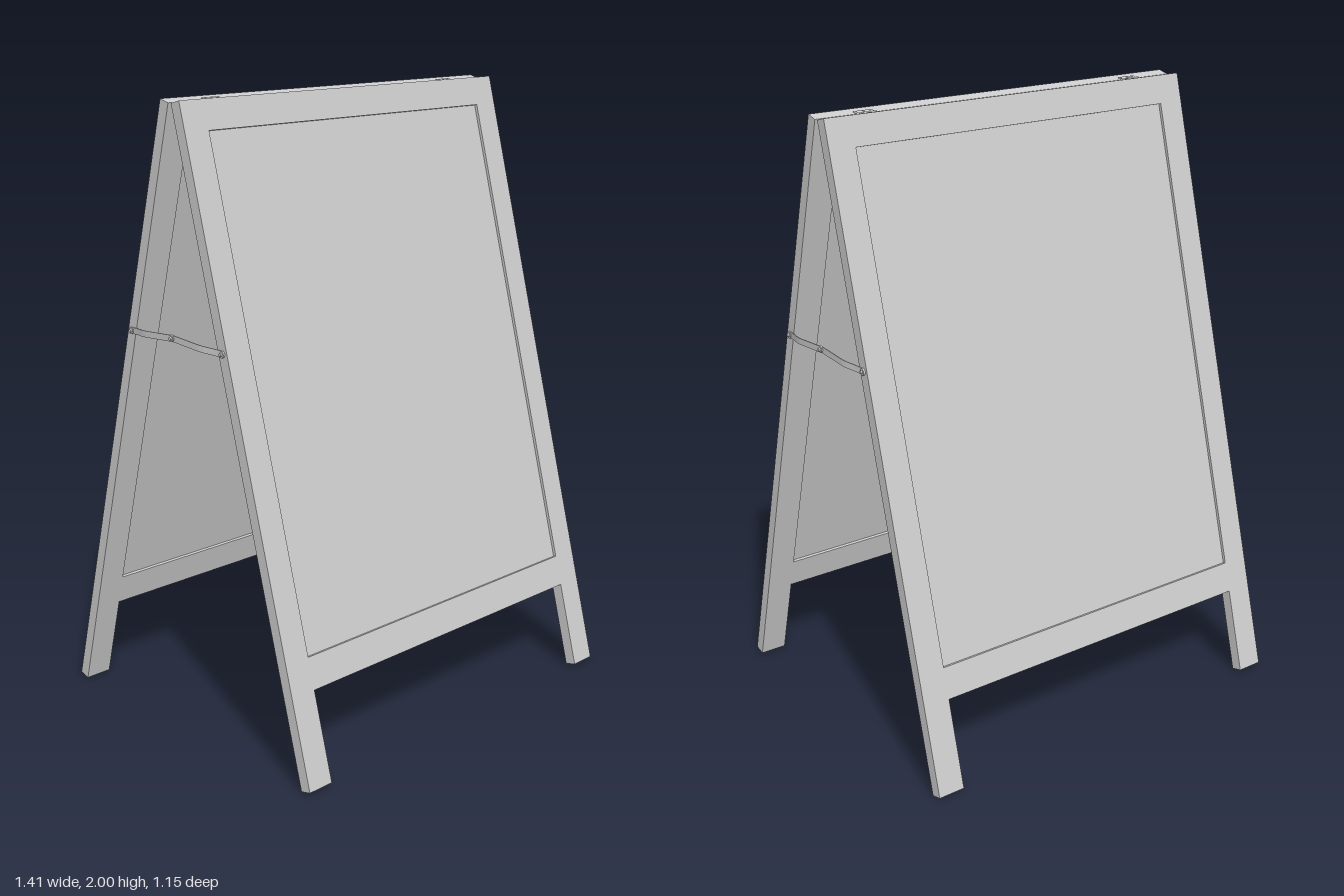
import * as THREE from 'three';

const TILT = 0.262;      // lean of each board
const THICK = 0.038;     // frame thickness
const LENGTH = 2.06;     // board length along its slope
const W = 0.68, INNER = 0.59;

const grey = new THREE.MeshStandardMaterial({ color: 0xcccccc, flatShading: true });
const smooth = new THREE.MeshStandardMaterial({ color: 0xcccccc });

function add(parent, name, geometry, x = 0, y = 0, z = 0, material = grey) {
  const mesh = new THREE.Mesh(geometry, material);
  mesh.name = name;
  mesh.position.set(x, y, z);
  parent.add(mesh);
  return mesh;
}

function polygon(Type, points) {
  return new Type(points.map(([x, y]) => new THREE.Vector2(x, y)));
}

// One leaning board; origin at its outer top edge, -y runs down the slope
function createBoard(name) {
  const board = new THREE.Group();
  board.name = name;

  // Frame: stiles that run on into legs, joined by two rails
  const outline = polygon(THREE.Shape, [
    [-W, 0], [-W, -LENGTH], [-INNER, -LENGTH], [-INNER, -1.773],
    [INNER, -1.773], [INNER, -LENGTH], [W, -LENGTH], [W, 0],
  ]);
  outline.holes.push(polygon(THREE.Path, [
    [-INNER, -0.093], [INNER, -0.093], [INNER, -1.672], [-INNER, -1.672],
  ]));
  add(board, 'frame', new THREE.ExtrudeGeometry(outline, { depth: THICK, bevelEnabled: false }), 0, 0, -THICK);

  // Writing panel, set back from both faces of the frame
  add(board, 'panel', new THREE.BoxGeometry(2 * INNER, 1.579, 0.018), 0, -0.8825, -THICK / 2);

  // Hinge leaves with screws on the top edge
  for (const x of [-0.51, 0.51]) {
    add(board, 'hingeLeaf', new THREE.BoxGeometry(0.066, 0.002, 0.018), x, 0.001, -0.031);
    for (const dx of [-0.022, 0, 0.022]) {
      add(board, 'hingeScrew', new THREE.CylinderGeometry(0.004, 0.004, 0.002, 12), x + dx, 0.002, -0.028, smooth);
    }
  }
  board.rotation.x = -TILT;
  board.position.set(0, 2, 0.043);
  return board;
}

// Thin strap from the stile (z = 0.215) to the middle joint, bowing outward
function createStrap(offset) {
  const geometry = new THREE.BoxGeometry(0.003, 0.02, 0.215, 1, 1, 12);
  const p = geometry.attributes.position;
  for (let i = 0; i < p.count; i++) {
    const z = p.getZ(i) + 0.1075;
    const bow = 0.016 * (1 - THREE.MathUtils.smoothstep(z, 0.12, 0.215));
    p.setXYZ(i, p.getX(i) + 0.6815 + bow + offset * (1 - z / 0.215),
      p.getY(i) + 1.297 - 0.014 * z / 0.215, z);
  }
  geometry.computeVertexNormals();
  return geometry;
}

// Folding stay on one side, built for +x
function createStay(name) {
  const stay = new THREE.Group();
  stay.name = name;
  add(stay, 'frontStrap', createStrap(0));
  const rear = add(stay, 'rearStrap', createStrap(-0.003));
  // mirrored through rotation-safe negative scale
  rear.scale.z = -1;
  for (const [x, y, z] of [[0.683, 1.283, 0.215], [0.683, 1.283, -0.215], [0.697, 1.297, 0]]) {
    const eye = add(stay, 'strapEye', new THREE.CylinderGeometry(0.011, 0.011, 0.006, 20), x, y, z, smooth);
    const rivet = add(stay, 'rivet', new THREE.CylinderGeometry(0.005, 0.007, 0.012, 16), x + 0.002, y, z, smooth);
    eye.rotation.z = rivet.rotation.z = -Math.PI / 2;
  }
  return stay;
}

export function createModel() {
  const model = new THREE.Group();
  model.name = 'sandwichBoard';

  const front = createBoard('frontBoard');
  model.add(front);
  const back = new THREE.Group();
  back.name = 'backHalf';
  back.add(createBoard('backBoard'));
  back.rotation.y = Math.PI;
  model.add(back);

  // Hinge pins between the boards
  for (const x of [-0.51, 0.51]) {
    const pin = add(model, 'hingePin', new THREE.CylinderGeometry(0.005, 0.005, 0.07, 16), x, 1.99, 0, smooth);
    pin.rotation.z = Math.PI / 2;
  }

  // Folding stays
  model.add(createStay('leftStay'));
  const right = createStay('rightStay');
  right.rotation.y = Math.PI;
  model.add(right);
  return model;
}
